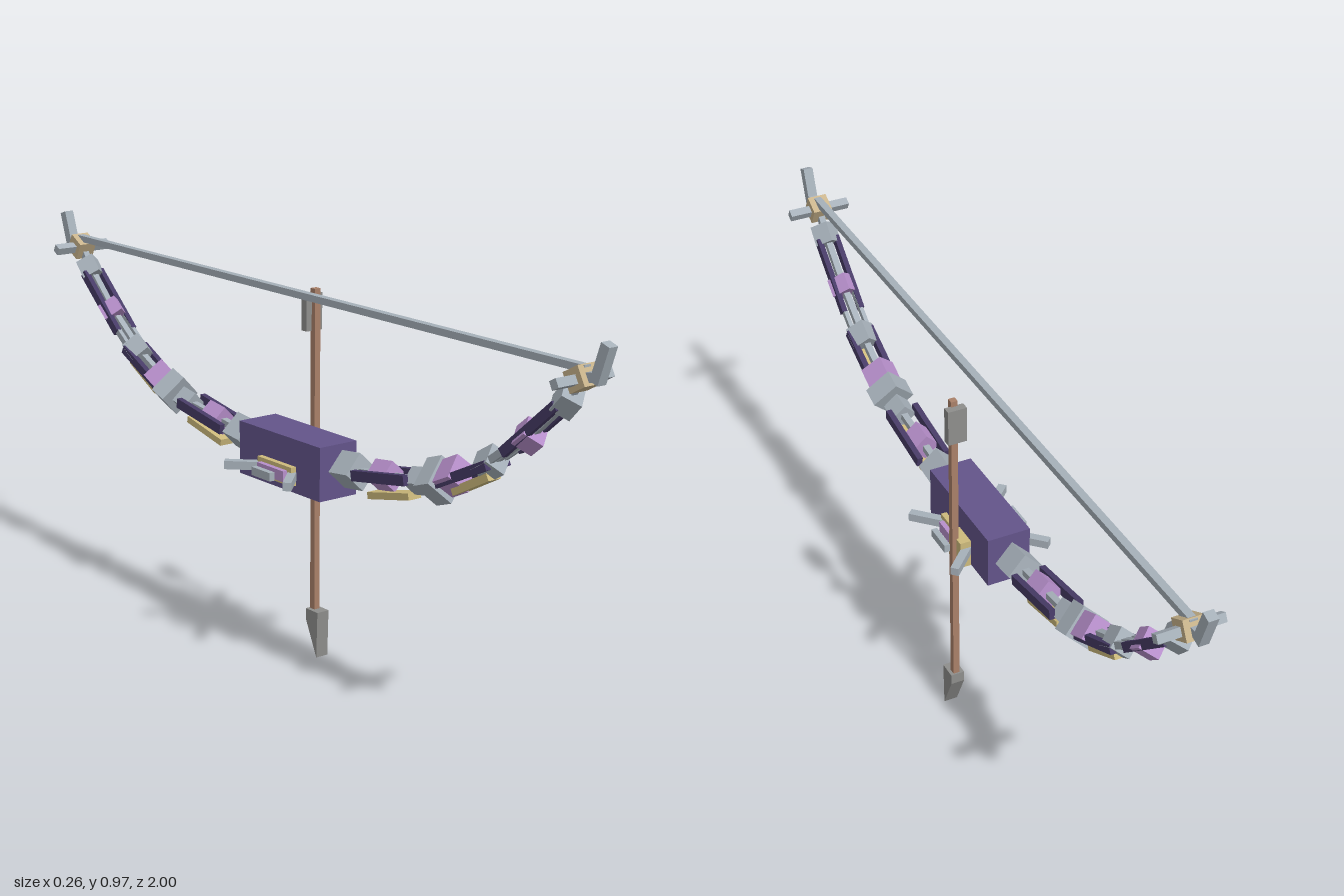
import * as THREE from 'three';

const mat = (name, color) => {
  const m = new THREE.MeshStandardMaterial({ color });
  m.name = name;
  return m;
};

export function createModel() {
  const silver = mat('silver', 0xa6b0b9);
  const violet = mat('grip violet', 0x63548a);
  const dark = mat('dark violet', 0x473b66);
  const lilac = mat('lilac', 0xb78fcb);
  const gold = mat('pale gold', 0xcdba7c);
  const tan = mat('tan', 0xc9b48c);
  const wood = mat('wood', 0xa98069);
  const steel = mat('steel grey', 0x8e8e8c);

  const model = new THREE.Group();
  model.name = 'bowAndArrow';

  const box = (parent, name, material, size, pos, rot = [0, 0, 0]) => {
    const m = new THREE.Mesh(new THREE.BoxGeometry(...size), material);
    m.name = name;
    m.position.set(...pos);
    m.rotation.set(...rot);
    parent.add(m);
    return m;
  };

  // Bar laid between two [z, y] points, offset in x
  const bar = (parent, name, material, a, b, x, w, h) => {
    const dz = b[0] - a[0], dy = b[1] - a[1];
    return box(parent, name, material, [w, h, Math.hypot(dz, dy)],
      [x, (a[1] + b[1]) / 2, (a[0] + b[0]) / 2], [-Math.atan2(dy, dz), 0, 0]);
  };

  // Grip
  box(model, 'grip', violet, [0.106, 0.128, 0.306], [0, 0.516, 0]);

  // Ornament on each side of the grip
  for (const s of [1, -1]) {
    const side = new THREE.Group();
    side.name = s > 0 ? 'leftOrnament' : 'rightOrnament';
    box(side, 'goldPlate', gold, [0.016, 0.045, 0.13], [s * 0.059, 0.493, 0]);
    box(side, 'lilacPlate', lilac, [0.026, 0.026, 0.1], [s * 0.066, 0.493, 0]);
    box(side, 'outerBar', silver, [0.014, 0.02, 0.07], [s * 0.099, 0.493, 0]);
    for (const t of [1, -1]) {
      box(side, 'diagonalBar', silver, [0.1, 0.02, 0.02], [s * 0.086, 0.493, t * 0.085],
        [0, -s * t * Math.PI / 4, 0]);
    }
    model.add(side);
  }
  box(model, 'arrowRest', gold, [0.028, 0.07, 0.06], [0.066, 0.485, -0.035]);

  // One limb, running up along +z
  const path = [[0.14, 0.525], [0.205, 0.53], [0.32, 0.545], [0.44, 0.56], [0.5, 0.575],
    [0.55, 0.597], [0.66, 0.65], [0.775, 0.733], [0.878, 0.828], [0.917, 0.885]];
  const beads = [null, [silver, 0.062, 0.065], [lilac, 0.05, 0.06], [silver, 0.045, 0.05],
    [silver, 0.075, 0.05], [lilac, 0.06, 0.055], [silver, 0.05, 0.055], [lilac, 0.05, 0.045],
    [silver, 0.047, 0.05]];

  const buildLimb = (name, turn) => {
    const limb = new THREE.Group();
    limb.name = name;
    // core
    for (let i = 0; i < path.length - 1; i++) {
      bar(limb, 'limbCore', silver, path[i], path[i + 1], 0, 0.016, 0.016);
    }
    // square beads turned on edge
    beads.forEach((b, i) => {
      if (!b) return;
      const [p, q] = [path[i - 1], path[i + 1]];
      const tilt = -Math.atan2(q[1] - p[1], q[0] - p[0]);
      box(limb, 'bead', b[0], [b[1], b[1], b[2]], [0, path[i][1], path[i][0]],
        [tilt, 0, Math.PI / 4]);
    });
    // side strips
    for (const s of [1, -1]) {
      bar(limb, 'innerStrip', dark, [0.25, 0.535], [0.43, 0.565], s * 0.035, 0.014, 0.024);
      bar(limb, 'middleStrip', dark, [0.5, 0.568], [0.68, 0.655], s * 0.028, 0.014, 0.022);
      bar(limb, 'silverStrip', silver, [0.64, 0.635], [0.775, 0.733], s * 0.021, 0.01, 0.016);
      bar(limb, 'outerStrip', dark, [0.72, 0.69], [0.87, 0.82], s * 0.023, 0.013, 0.022);
    }
    // gold plates under the limb
    bar(limb, 'lowerPlate', gold, [0.28, 0.492], [0.42, 0.522], 0, 0.036, 0.016);
    bar(limb, 'upperPlate', gold, [0.56, 0.567], [0.67, 0.625], 0, 0.036, 0.018);
    // tip
    box(limb, 'tipBlock', tan, [0.048, 0.046, 0.046], [0, 0.882, 0.917], [-0.5, 0, 0]);
    box(limb, 'tipCrossbar', silver, [0.155, 0.02, 0.02], [0, 0.88, 0.917], [-0.5, 0, 0]);
    bar(limb, 'tipNeck', silver, [0.917, 0.885], [0.965, 0.892], 0, 0.02, 0.02);
    bar(limb, 'tipHorn', silver, [0.959, 0.88], [0.987, 0.962], 0, 0.024, 0.024);
    limb.rotation.y = turn;
    model.add(limb);
  };
  buildLimb('frontLimb', 0);
  buildLimb('backLimb', Math.PI);

  // String
  box(model, 'bowstring', silver, [0.018, 0.016, 1.86], [0, 0.903, 0]);

  // Arrow, pointing down
  const arrow = new THREE.Group();
  arrow.name = 'arrow';
  box(arrow, 'arrowShaft', wood, [0.016, 0.82, 0.016], [0.082, 0.49, -0.036]);
  box(arrow, 'fletching', steel, [0.046, 0.088, 0.02], [0.082, 0.843, -0.05]);
  const head = new THREE.Shape([[0, 0.115], [0.045, 0.115], [0.045, 0.088], [0.004, 0]]
    .map(([u, v]) => new THREE.Vector2(u, v)));
  const headGeo = new THREE.ExtrudeGeometry(head, { depth: 0.034, bevelEnabled: false });
  headGeo.rotateY(Math.PI / 2);
  const headMesh = new THREE.Mesh(headGeo, steel);
  headMesh.name = 'arrowHead';
  headMesh.position.set(0.064, 0, -0.003);
  arrow.add(headMesh);
  model.add(arrow);

  return model;
}
